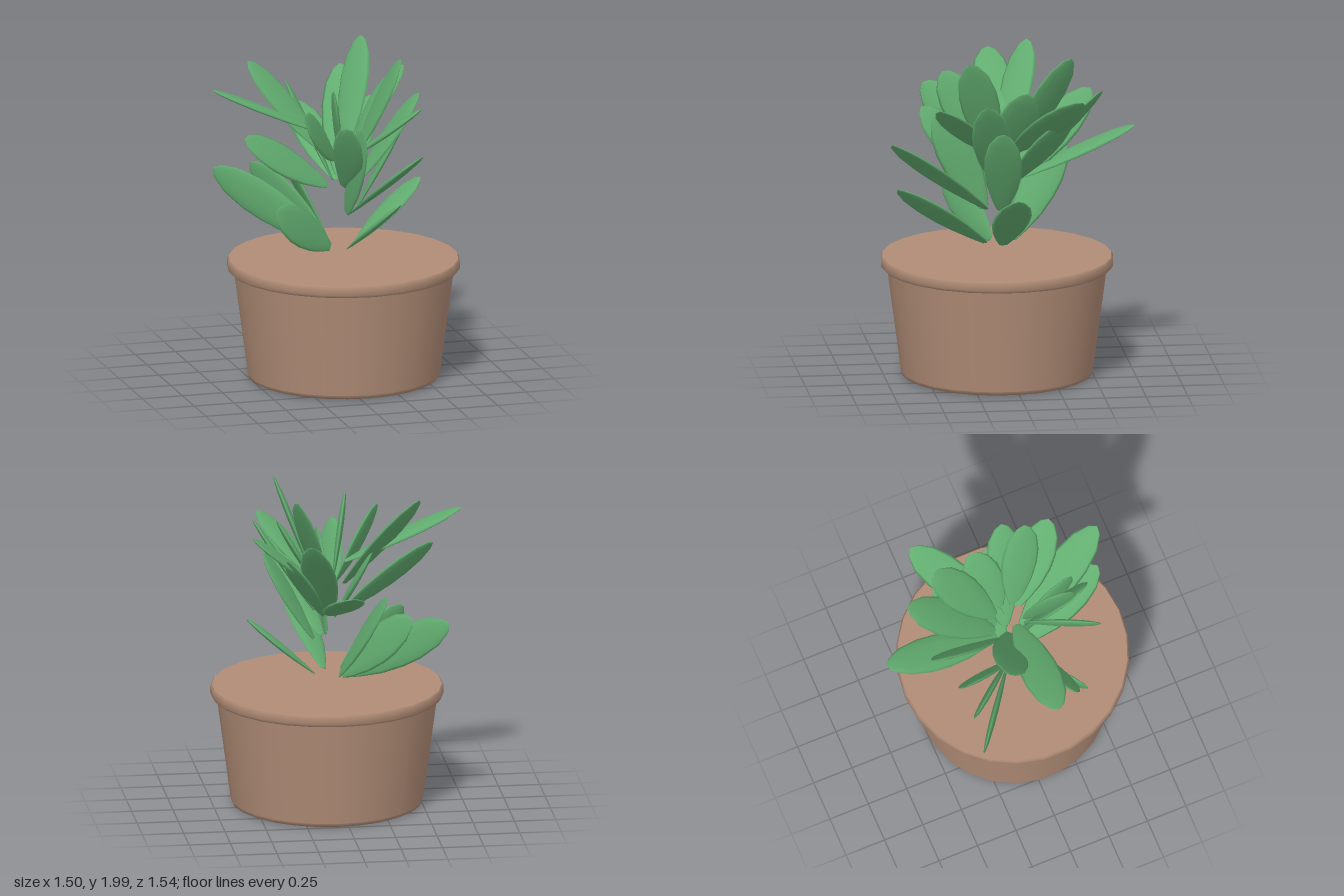
import * as THREE from 'three';

// Rings of leaves by base height; each leaf is tip x, y, z and its roll in degrees
const RINGS = [
  { baseY: 0.81, leaves: [
    [0.56, 1.18, 0, 0], [0.22, 1.19, 0.69, -25], [-0.44, 1.12, 0.34, 80],
    [-0.62, 1.22, -0.4, -85], [-0.4, 1.25, -0.36, -75], [-0.25, 1.38, -0.37, -50],
  ] },
  { baseY: 1.02, leaves: [
    [0.35, 1.5, 0.74, -15], [0.45, 1.57, 0.07, 15], [0.08, 1.61, 0.44, 85],
  ] },
  { baseY: 1.19, leaves: [
    [0.01, 1.5, -0.77, 0], [-0.6, 1.55, 0.21, 50], [-0.02, 1.64, 0.52, 48],
    [0.34, 1.62, -0.33, 20], [-0.13, 1.7, -0.52, -50], [0.5, 1.75, 0.18, -14],
    [0.22, 1.77, -0.55, 15],
  ] },
  { baseY: 1.37, leaves: [
    [0.56, 1.78, -0.39, 27], [0.43, 1.72, 0.46, -10], [-0.3, 1.72, 0.48, 70],
    [0.38, 1.8, -0.07, 15], [-0.09, 1.84, 0.38, 75], [-0.47, 1.93, -0.17, 20],
    [0.29, 1.99, -0.35, 30], [0.36, 1.99, 0.27, -31],
  ] },
  { baseY: 1.5, leaves: [[-0.75, 1.82, 0.03, 0]] },
];
const UP = new THREE.Vector3(0, 1, 0);

const lathe = (profile, sides) =>
  new THREE.LatheGeometry(profile.map(([x, y]) => new THREE.Vector2(x, y)), sides);

// Flattened oval blade with a blunt point, one unit long
function makeLeafGeometry() {
  const blade = lathe([
    [0, 0], [0.22, 0.01], [0.5, 0.13], [0.82, 0.31], [0.98, 0.5],
    [0.98, 0.66], [0.78, 0.84], [0.38, 0.96], [0, 1],
  ], 12);
  return blade.scale(0.117, 1, 0.019);
}

// Leaves start on a small circle and point outward to their tips
function makeLeaf(geometry, material, baseY, [x, y, z, roll]) {
  const center = new THREE.Vector3(0.05, baseY, 0.05);
  const base = new THREE.Vector3(x, baseY, z).sub(center).setLength(0.09).add(center);
  const axis = new THREE.Vector3(x, y, z).sub(base);
  const length = axis.length();
  axis.normalize();
  const side = new THREE.Vector3().crossVectors(axis, UP).normalize()
    .applyAxisAngle(axis, -THREE.MathUtils.degToRad(roll));
  const normal = new THREE.Vector3().crossVectors(side, axis);

  const leaf = new THREE.Mesh(geometry, material);
  leaf.name = 'leaf';
  leaf.position.copy(base);
  leaf.quaternion.setFromRotationMatrix(new THREE.Matrix4().makeBasis(side, axis, normal));
  leaf.scale.y = length;
  return leaf;
}

export function createModel() {
  const model = new THREE.Group();
  model.name = 'pottedSucculent';

  const clay = new THREE.MeshStandardMaterial({ color: 0xb08c76 });
  clay.name = 'clay brown';
  const green = new THREE.MeshStandardMaterial({ color: 0x62ad70 });
  green.name = 'leaf green';

  // Pot: tapered wall and a closed rim; repeated points keep edges sharp
  const pot = new THREE.Group();
  pot.name = 'pot';
  pot.position.set(0.06, 0, 0.07);
  const addPart = (name, profile) => {
    const mesh = new THREE.Mesh(lathe(profile, 26), clay);
    mesh.name = name;
    pot.add(mesh);
  };
  addPart('potBody', [
    [0, 0], [0.555, 0], [0.555, 0], [0.572, 0.008], [0.578, 0.025], [0.578, 0.025], [0.665, 0.68],
  ]);
  addPart('potRim', [
    [0.6, 0.662], [0.685, 0.662], [0.685, 0.662], [0.7, 0.68],
    [0.7, 0.72], [0.69, 0.735], [0.69, 0.735], [0, 0.735],
  ]);
  model.add(pot);

  // Loose rosette of leaves above the pot
  const leaves = new THREE.Group();
  leaves.name = 'leaves';
  const blade = makeLeafGeometry();
  for (const ring of RINGS) {
    for (const spec of ring.leaves) leaves.add(makeLeaf(blade, green, ring.baseY, spec));
  }
  model.add(leaves);

  return model;
}
